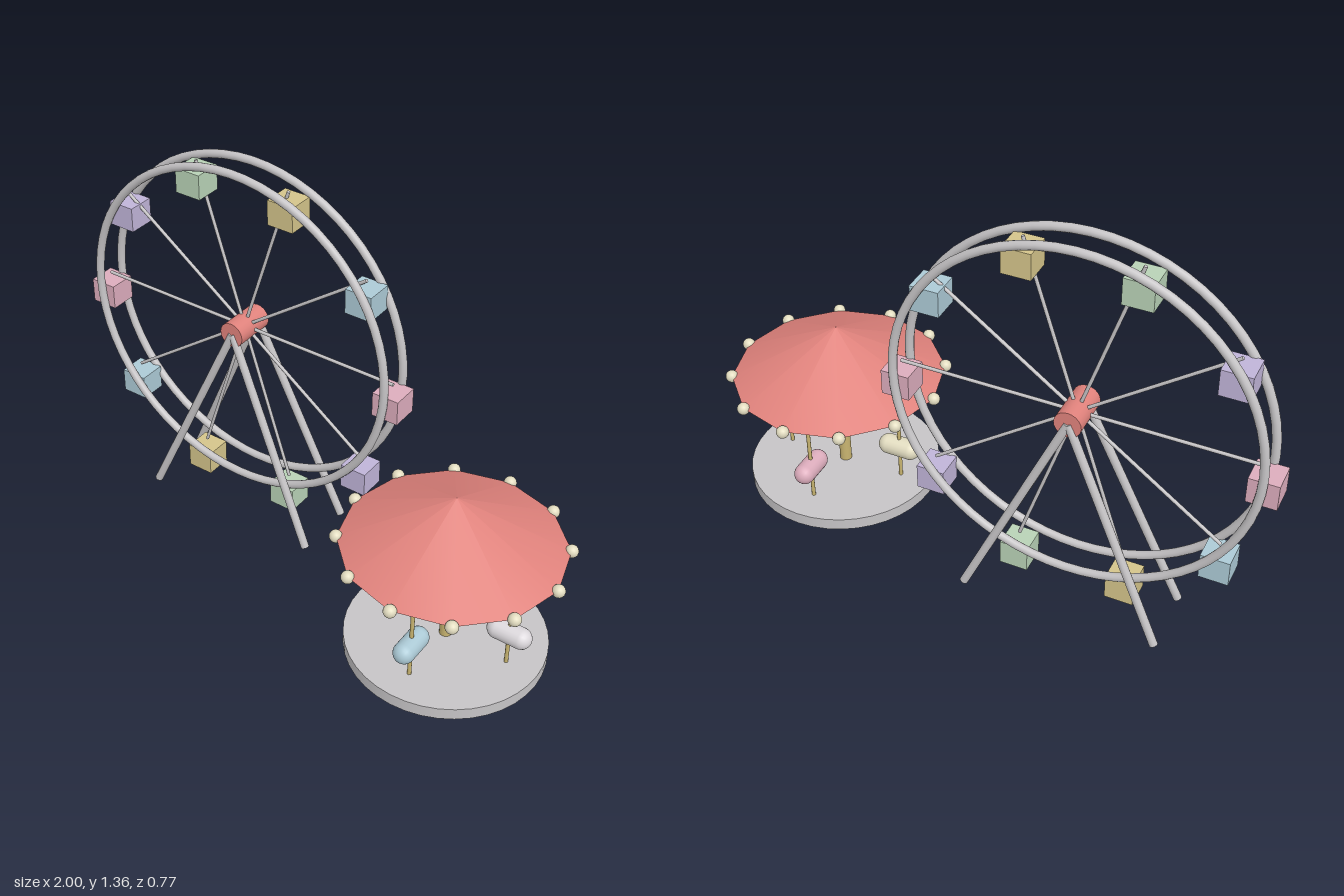
import * as THREE from 'three';

const mat = (name, color) => {
  const m = new THREE.MeshStandardMaterial({ color });
  m.name = name;
  return m;
};

export function createModel() {
  const steel = mat('steel grey', 0xc6c4c6);
  const red = mat('coral red', 0xe0827c);
  const gold = mat('pole gold', 0xc8b470);
  const cream = mat('cream', 0xe2dcc0);
  const white = mat('soft white', 0xdcd8dc);
  const pink = mat('pastel pink', 0xdcacbc);
  const blue = mat('pastel blue', 0xaccad6);
  const yellow = mat('pastel yellow', 0xd4c48a);
  const green = mat('pastel green', 0xb8d2b6);
  const purple = mat('pastel purple', 0xc0b4d8);

  const add = (parent, name, geo, material, x = 0, y = 0, z = 0) => {
    const mesh = new THREE.Mesh(geo, material);
    mesh.name = name;
    mesh.position.set(x, y, z);
    parent.add(mesh);
    return mesh;
  };

  // Round bar between two points
  const bar = (parent, name, a, b, r, material, sides = 12) => {
    const dir = b.clone().sub(a);
    const mesh = add(parent, name, new THREE.CylinderGeometry(r, r, dir.length(), sides), material);
    mesh.position.copy(a).add(b).multiplyScalar(0.5);
    mesh.quaternion.setFromUnitVectors(new THREE.Vector3(0, 1, 0), dir.normalize());
  };
  const V = (x, y, z) => new THREE.Vector3(x, y, z);

  const model = new THREE.Group();
  model.name = 'fairground';

  // Big wheel, built around its hub
  const wheel = new THREE.Group();
  wheel.name = 'bigWheel';
  wheel.position.set(-0.36, 0.755, -0.224);
  model.add(wheel);
  const R = 0.595;
  const hub = add(wheel, 'hub', new THREE.CylinderGeometry(0.045, 0.045, 0.15, 20), red);
  hub.rotation.x = Math.PI / 2;
  for (const s of [-1, 1]) {
    add(wheel, 'rim', new THREE.TorusGeometry(R, 0.0145, 12, 64), steel, 0, 0, s * 0.056);
    for (const side of [-1, 1]) {
      bar(wheel, 'supportLeg', V(0, 0, s * 0.068), V(side * 0.333, -0.748, s * 0.112), 0.0145, steel);
    }
  }

  // Spokes with a hanging cabin at each end
  const cabinColours = [pink, blue, yellow, green, purple];
  for (let i = 0; i < 10; i++) {
    const a = (i * Math.PI) / 5;
    const x = R * Math.cos(a), y = R * Math.sin(a);
    bar(wheel, 'spoke', V(0, 0, 0), V(x, y, 0), 0.006, steel, 8);
    add(wheel, 'cabin', new THREE.BoxGeometry(0.096, 0.088, 0.096), cabinColours[i % 5], x, y - 0.067, 0);
  }

  // Carousel
  const carousel = new THREE.Group();
  carousel.name = 'carousel';
  carousel.position.set(0.612, 0, 0);
  model.add(carousel);
  add(carousel, 'platform', new THREE.CylinderGeometry(0.335, 0.335, 0.043, 40), steel, 0, 0.0295, 0);
  add(carousel, 'centrePole', new THREE.CylinderGeometry(0.021, 0.021, 0.4, 16), gold, 0, 0.25, 0);
  add(carousel, 'roof', new THREE.ConeGeometry(0.366, 0.185, 12), red, 0, 0.5295, 0);

  // Bulbs on the roof corners
  for (let i = 0; i < 12; i++) {
    const a = (i * Math.PI) / 6;
    add(carousel, 'bulb', new THREE.SphereGeometry(0.0215, 16, 12), cream,
      0.366 * Math.cos(a), 0.437, 0.366 * Math.sin(a));
  }

  // Four rides on poles, each pointing outward
  [white, blue, cream, pink].forEach((material, i) => {
    const ride = new THREE.Group();
    ride.name = 'ride';
    ride.rotation.y = (-i * Math.PI) / 2;
    carousel.add(ride);
    add(ride, 'ridePole', new THREE.CylinderGeometry(0.0068, 0.0068, 0.37, 10), gold, 0.224, 0.233, 0);
    const seat = add(ride, 'rideSeat', new THREE.CapsuleGeometry(0.036, 0.082, 8, 20), material, 0.224, 0.178, 0);
    seat.rotation.z = Math.PI / 2;
  });

  return model;
}
